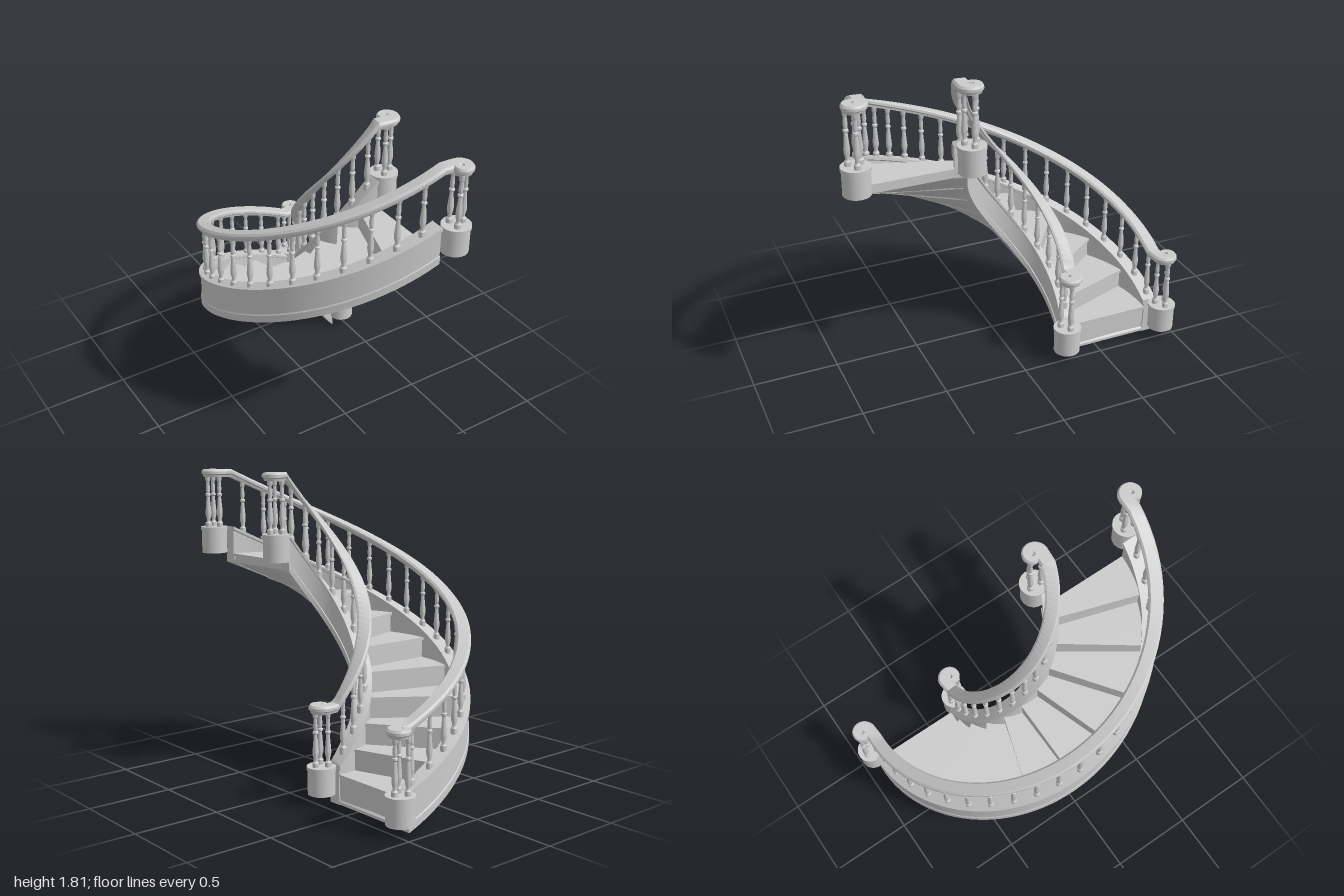
import * as THREE from 'three';
import { toCreasedNormals } from 'three/addons/utils/BufferGeometryUtils.js';

const CX = 0.35;            // axis of the spiral
const SHIFT = 0.066;        // step edges sit this far beside the axis
const RISE = 1.233;         // climb of the whole half turn
const STEPS = 10;
const R_OUT = 0.875, R_IN = 0.315;
const STEP_ANGLE = Math.PI / STEPS;
const mat = new THREE.MeshStandardMaterial({ color: 0xcccccc, side: THREE.DoubleSide });

const climb = (phi) => (RISE * phi) / Math.PI;

// point on the half turn: radius, sweep angle (0 = foot, PI = head), height
function onTurn(r, phi, y) {
  const a = phi - Math.asin(SHIFT / r);
  return new THREE.Vector3(CX - r * Math.sin(a), y, -r * Math.cos(a));
}

// closed solid through a list of equal-length rings
function loft(rings, crease = 0.6) {
  const n = rings[0].length, pos = [];
  const tri = (a, b, c) => pos.push(...a.toArray(), ...b.toArray(), ...c.toArray());
  for (let i = 0; i < rings.length - 1; i++) {
    for (let j = 0; j < n; j++) {
      const k = (j + 1) % n, p = rings[i], q = rings[i + 1];
      tri(p[j], p[k], q[k]);
      tri(p[j], q[k], q[j]);
    }
  }
  const cap = (ring, flip) => {
    const c = ring.reduce((s, v) => s.add(v), new THREE.Vector3()).divideScalar(n);
    ring.forEach((v, j) => {
      const w = ring[(j + 1) % n];
      flip ? tri(c, w, v) : tri(c, v, w);
    });
  };
  cap(rings[0], true);
  cap(rings[rings.length - 1], false);
  // turn the faces outward if the enclosed volume comes out negative
  let vol = 0;
  const a = new THREE.Vector3(), b = new THREE.Vector3(), c = new THREE.Vector3();
  for (let i = 0; i < pos.length; i += 9) {
    vol += a.fromArray(pos, i).dot(b.fromArray(pos, i + 3).cross(c.fromArray(pos, i + 6)));
  }
  if (vol < 0) {
    for (let i = 0; i < pos.length; i += 9) {
      for (let m = 0; m < 3; m++) [pos[i + 3 + m], pos[i + 6 + m]] = [pos[i + 6 + m], pos[i + 3 + m]];
    }
  }
  const g = new THREE.BufferGeometry();
  g.setAttribute('position', new THREE.Float32BufferAttribute(pos, 3));
  return toCreasedNormals(g, crease);
}

// section of [radius, height] swept round the turn, level or climbing
function sweepTurn(section, phi0, phi1, n, climbing) {
  const rings = [];
  for (let i = 0; i <= n; i++) {
    const phi = phi0 + ((phi1 - phi0) * i) / n;
    rings.push(section.map(([r, y]) => onTurn(r, phi, y + (climbing ? climb(phi) : 0))));
  }
  return loft(rings);
}

const rect = (r0, r1, y0, y1) => [[r0, y0], [r1, y0], [r1, y1], [r0, y1]];

// newel centre at the foot or head of one side
function newelCentre(outer, head) {
  const z = outer ? 0.918 : 0.275;
  return new THREE.Vector3(head ? 0.37 : 0.485, head ? RISE : 0, head ? z : -z);
}

// flat scroll that ends a handrail, listed from the rail outwards
function scroll(outer, head) {
  const c = newelCentre(outer, head), pts = [], n = 26;
  const zSide = (head ? 1 : -1) * (outer ? 1 : -1);   // direction of curl
  for (let i = 0; i <= n; i++) {
    const u = i / n, a = u * Math.PI * 1.75, rad = 0.041 - 0.021 * u * u;
    pts.push({
      p: new THREE.Vector3(c.x + rad * Math.sin(a), c.y, c.z - zSide * rad * Math.cos(a)),
      w: 1 - 0.6 * u,
    });
  }
  return pts;
}

function handrail(outer) {
  const r = outer ? R_OUT : R_IN, path = [];
  path.push(...scroll(outer, false).reverse());
  for (let i = 0; i <= 48; i++) {
    const phi = (Math.PI * i) / 48;
    path.push({ p: onTurn(r, phi, climb(phi)), w: 1 });
  }
  path.push(...scroll(outer, true));
  const section = [[-0.027, 0.53], [0.027, 0.53], [0.031, 0.543], [0.041, 0.55],
    [0.041, 0.565], [0.03, 0.577], [-0.03, 0.577], [-0.041, 0.565], [-0.041, 0.55], [-0.031, 0.543]];
  const rings = path.map(({ p, w }, i) => {
    const t = path[Math.min(i + 1, path.length - 1)].p.clone().sub(path[Math.max(i - 1, 0)].p);
    const side = new THREE.Vector3(-t.z, 0, t.x).normalize();
    return section.map(([u, y]) => p.clone().addScaledVector(side, u * w).add(new THREE.Vector3(0, y, 0)));
  });
  return loft(rings, 0.5);
}

// turned baluster, standing from the curb to the rail
const balusterProfile = [[0.019, 0], [0.019, 0.04], [0.012, 0.048], [0.011, 0.06], [0.017, 0.085],
  [0.018, 0.105], [0.011, 0.185], [0.010, 0.2], [0.016, 0.206], [0.016, 0.216], [0.010, 0.222],
  [0.013, 0.25], [0.010, 0.29], [0.015, 0.3], [0.015, 0.33]].map(([x, y]) => new THREE.Vector2(x, y));
const balusterGeo = toCreasedNormals(new THREE.LatheGeometry(balusterProfile, 12), 0.7);

export function createModel() {
  const model = new THREE.Group();
  const add = (parent, name, geo, p) => {
    const m = new THREE.Mesh(geo, mat);
    m.name = name;
    if (p) m.position.copy(p);
    parent.add(m);
  };

  // steps: riser and tread with a small nosing
  const steps = new THREE.Group();
  steps.name = 'steps';
  for (let k = 0; k < STEPS; k++) {
    const phi = k * STEP_ANGLE, top = 0.177 + k * 0.1237;
    const end = Math.min(phi + STEP_ANGLE + 0.04, Math.PI);
    add(steps, 'tread', sweepTurn(rect(0.3, 0.86, top - 0.017, top), phi, end, 6, false));
    add(steps, 'riser', sweepTurn(rect(0.3, 0.86, climb(phi) + 0.008, top - 0.01), phi + 0.015, phi + 0.035, 1, false));
  }
  add(steps, 'headPanel', sweepTurn(rect(0.3, 0.86, RISE + 0.003, RISE + 0.05), Math.PI - 0.03, Math.PI - 0.012, 1, false));
  model.add(steps);

  // smooth underside
  add(model, 'soffit', sweepTurn(rect(0.29, 0.9, 0.004, 0.02), 0, Math.PI, 48, true));

  for (const outer of [true, false]) {
    const side = new THREE.Group();
    side.name = outer ? 'outerBalustrade' : 'innerBalustrade';
    const r = outer ? R_OUT : R_IN;

    // curb with a foot moulding and a capping lip
    const half = [[0.04, 0], [0.04, 0.045], [0.035, 0.052], [0.035, 0.2], [0.044, 0.206], [0.044, 0.225]];
    const section = [...half.map(([u, y]) => [r + u, y]), ...half.slice().reverse().map(([u, y]) => [r - u, y])];
    add(side, 'stringer', sweepTurn(section, 0, Math.PI, 48, true));
    add(side, 'handrail', handrail(outer));

    // balusters along the flight
    const count = outer ? 20 : 12, first = outer ? 0.17 : 0.55, gap = outer ? 0.5 : 0.82;
    for (let j = 0; j < count; j++) {
      const phi = (first + j * gap) * STEP_ANGLE;
      add(side, 'baluster', balusterGeo, onTurn(r, phi, climb(phi) + 0.21));
    }

    // round newel blocks with three balusters each
    for (const head of [false, true]) {
      const c = newelCentre(outer, head);
      const at = (dx, y, dz) => c.clone().add(new THREE.Vector3(dx, y, dz));
      add(side, 'newelBlock', new THREE.CylinderGeometry(0.077, 0.077, 0.14, 32), at(0, 0.135, 0));
      add(side, 'newelCap', new THREE.CylinderGeometry(0.082, 0.082, 0.02, 32), at(0, 0.215, 0));
      for (let i = 0; i < 3; i++) {
        const a = (i * Math.PI * 2) / 3;
        add(side, 'newelBaluster', balusterGeo, at(0.04 * Math.cos(a), 0.21, 0.04 * Math.sin(a)));
      }
    }
    model.add(side);
  }
  return model;
}
